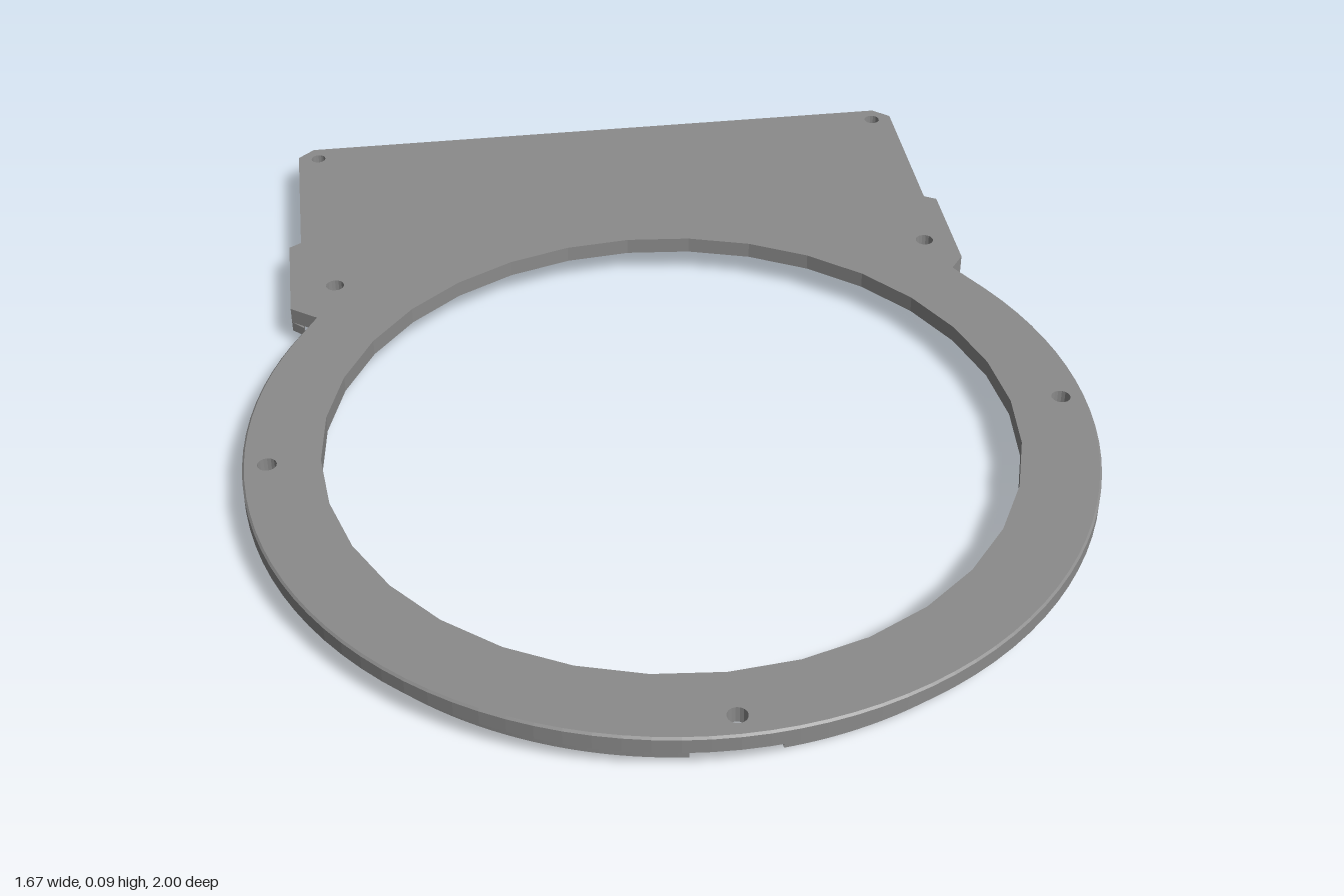
import * as THREE from 'three';

const CZ = 0.165;             // ring centre along z
const Y0 = 0.053, Y1 = 0.087; // plate underside and top
const LOW = 0.032;            // underside of ribs and lips

export function createModel() {
  const group = new THREE.Group();
  const mat = new THREE.MeshStandardMaterial({ color: 0x8b8b8b, flatShading: true });
  const add = (name, geo) => {
    const mesh = new THREE.Mesh(geo, mat);
    mesh.name = name;
    group.add(mesh);
    return mesh;
  };
  // Extrudes a plan drawn in (x, -z) upward from y0 to y1
  const slab = (shape, y0, y1, segs, steps = 1) => {
    const g = new THREE.ExtrudeGeometry(shape, { depth: y1 - y0, bevelEnabled: false, curveSegments: segs, steps });
    g.rotateX(-Math.PI / 2);
    g.translate(0, y0, 0);
    return g;
  };
  const circle = (x, z, r, n) => {
    const pts = [];
    for (let i = 0; i < n; i++) {
      const a = (i / n) * Math.PI * 2;
      pts.push(new THREE.Vector2(x + r * Math.cos(a), -z + r * Math.sin(a)));
    }
    return new THREE.Path(pts);
  };

  // Plate outline: ring arc around the front, then the squared back with side ears
  const R = 0.833;
  const arcEnd = Math.atan2(0.48, 0.68);
  const outline = [];
  const N = 72;
  for (let i = 0; i <= N; i++) {
    const a = Math.PI - arcEnd + (i / N) * (Math.PI + 2 * arcEnd);
    outline.push(new THREE.Vector2(R * Math.cos(a), -CZ + R * Math.sin(a)));
  }
  [[0.71, -0.355], [0.71, -0.59], [0.685, -0.605], [0.685, -0.965], [0.65, -1],
    [-0.675, -1], [-0.71, -0.965], [-0.71, -0.605], [-0.735, -0.59], [-0.735, -0.355]]
    .forEach(([x, z]) => outline.push(new THREE.Vector2(x, -z)));
  const plan = new THREE.Shape(outline);
  plan.holes.push(circle(0, 0.163, 0.682, 32));
  [[-0.665, -0.955, 0.016], [0.64, -0.955, 0.017], [-0.64, -0.43, 0.019], [0.645, -0.43, 0.019],
    [-0.785, 0.163, 0.019], [0.785, 0.163, 0.019], [0, 0.95, 0.019]]
    .forEach(([x, z, r]) => plan.holes.push(circle(x, z, r, 16)));

  // Plate with a fine chamfer on the top rim of the ring and back edge
  const plate = slab(plan, Y0, Y1, 12, 2);
  const bevel = 0.004;
  const p = plate.attributes.position;
  for (let i = 0; i < p.count; i++) {
    const x = p.getX(i), y = p.getY(i), z = p.getZ(i);
    if (y < Y0 + 0.005) continue;
    if (y < Y1 - 0.005) { p.setY(i, Y1 - bevel); continue; }
    const r = Math.hypot(x, z - CZ);
    if (z > -0.3 && r > 0.82) {
      const s = (r - bevel) / r;
      p.setX(i, x * s);
      p.setZ(i, CZ + (z - CZ) * s);
    } else if (z < -0.99) p.setZ(i, z + bevel);
  }
  plate.computeVertexNormals();
  add('plate', plate);

  // Curved walls under the ring; their ends are cut parallel to the x and z axes
  const WZ = 0.16, ro = 0.797, ri = 0.764, gap = 0.082, back = 0.595;
  const wall = (endAngles) => {
    const s = new THREE.Shape();
    const [o0, o1] = endAngles(ro), [i0, i1] = endAngles(ri);
    s.absarc(0, -WZ, ro, o0, o1, false);
    s.absarc(0, -WZ, ri, i1, i0, true);
    return slab(s, 0, Y0, 28);
  };
  const cut = (d, r) => Math.asin(d / r);
  add('frontWallLeft', wall((r) => [-Math.PI / 2 + cut(gap, r), -cut(gap, r)]));
  add('frontWallRight', wall((r) => [Math.PI + cut(gap, r), Math.PI * 1.5 - cut(gap, r)]));
  add('backWallLeft', wall((r) => [cut(gap, r), cut(back, r)]));
  add('backWallRight', wall((r) => [Math.PI - cut(back, r), Math.PI - cut(gap, r)]));

  // Lips hanging below the side ears, with chamfered ends
  for (const [name, side, edge] of [['earLipLeft', 1, 0.71], ['earLipRight', -1, 0.735]]) {
    const pts = [[edge - 0.025, -0.33], [edge, -0.355], [edge, -0.59], [edge - 0.025, -0.605]]
      .map(([x, z]) => new THREE.Vector2(side * x, -z));
    add(name, slab(new THREE.Shape(pts), LOW, Y0, 1));
  }

  // Thin ribs under the back plate
  const rib = (name, w, d, x, z) =>
    add(name, new THREE.BoxGeometry(w, Y0 - LOW, d)).position.set(x, (Y0 + LOW) / 2, z);
  rib('backRib', 0.96, 0.022, -0.012, -0.95);
  rib('sideRibLeft', 0.022, 0.215, 0.64, -0.638);
  rib('sideRibRight', 0.022, 0.215, -0.665, -0.638);

  return group;
}
